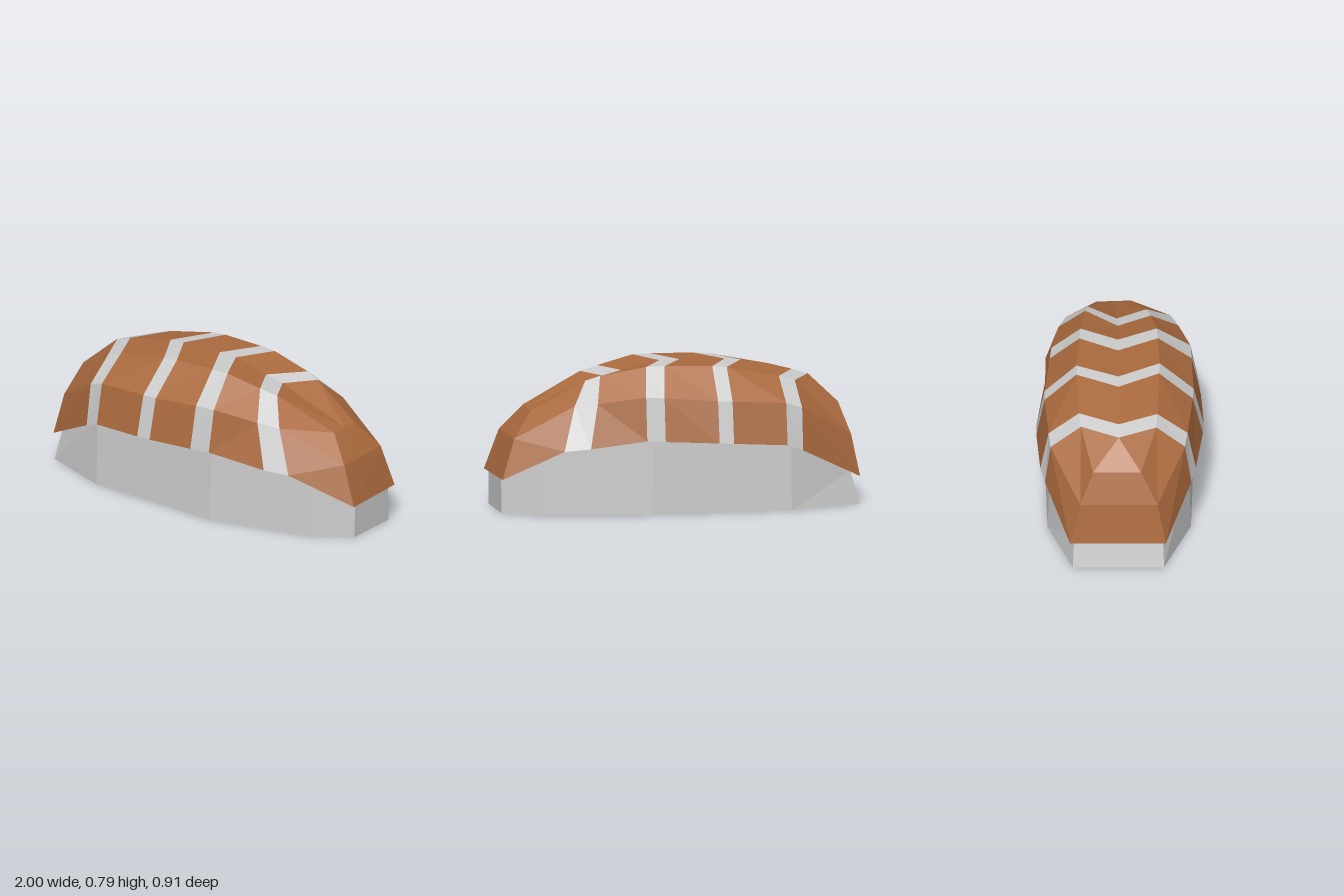
import * as THREE from 'three';

const GREY = 0xcccccc, BROWN = 0xaa6a3e;

// Flat-shaded mesh from a list of quads (four corners, counter-clockwise from outside)
function quadMesh(name, quads, color) {
  const pos = [];
  for (const [a, b, c, d] of quads) pos.push(...a, ...b, ...c, ...a, ...c, ...d);
  const geo = new THREE.BufferGeometry();
  geo.setAttribute('position', new THREE.Float32BufferAttribute(pos, 3));
  geo.computeVertexNormals();
  const mesh = new THREE.Mesh(geo, new THREE.MeshStandardMaterial({ color, flatShading: true }));
  mesh.name = name;
  return mesh;
}

// Lengthwise crust lines, each from the -x end to the +x end
const line = (xs, ys, zs) => xs.map((x, i) => [x, ys[i], zs[i]]);
const rimY = [0.155, 0.33, 0.365, 0.385, 0.39, 0.4, 0.405, 0.37, 0.355, 0.19];
const midY = [0.38, 0.56, 0.59, 0.61, 0.615, 0.635, 0.64, 0.605, 0.59, 0.41];
const topY = [0.55, 0.685, 0.713, 0.773, 0.78, 0.785, 0.783, 0.735, 0.71, 0.55];
const frontRim = line([-1, -0.66, -0.57, -0.26, -0.17, 0.1, 0.22, 0.56, 0.69, 1], rimY,
  [0.245, 0.385, 0.41, 0.45, 0.455, 0.44, 0.43, 0.38, 0.328, 0.147]);
const frontMid = line([-0.96, -0.66, -0.57, -0.26, -0.17, 0.1, 0.22, 0.47, 0.59, 0.92], midY,
  [0.2, 0.35, 0.365, 0.395, 0.4, 0.39, 0.385, 0.32, 0.28, 0.13]);
const frontTop = line([-0.9, -0.66, -0.57, -0.26, -0.17, 0.07, 0.17, 0.37, 0.47, 0.8], topY,
  [0.11, 0.195, 0.2, 0.212, 0.215, 0.208, 0.202, 0.17, 0.147, 0.065]);
const ridge = line([-0.9, -0.76, -0.67, -0.39, -0.3, -0.05, 0.06, 0.27, 0.38, 0.795], topY,
  [-0.02, -0.01, -0.01, -0.01, -0.01, -0.01, -0.01, -0.01, -0.015, -0.03]);
const backTop = line([-0.9, -0.65, -0.56, -0.27, -0.19, 0.07, 0.17, 0.42, 0.5, 0.79], topY,
  [-0.15, -0.215, -0.225, -0.238, -0.237, -0.22, -0.212, -0.185, -0.172, -0.125]);
const backMid = line([-0.96, -0.66, -0.57, -0.27, -0.19, 0.1, 0.2, 0.46, 0.58, 0.9], midY,
  [-0.22, -0.38, -0.39, -0.41, -0.41, -0.38, -0.37, -0.33, -0.29, -0.215]);
const backRim = line([-1, -0.66, -0.57, -0.27, -0.19, 0.1, 0.2, 0.51, 0.65, 0.97], rimY,
  [-0.275, -0.41, -0.435, -0.455, -0.455, -0.415, -0.405, -0.4, -0.367, -0.248]);

// Level underside lip: the rim moved inward
const lip = rim => rim.map(([x, y, z]) => [x, y, z - 0.08 * Math.sign(z)]);
const lines = [lip(frontRim), frontRim, frontMid, frontTop, ridge,
  backTop, backMid, backRim, lip(backRim)];

// Crust slices alternate with the pale score marks
function buildCrust() {
  const crust = new THREE.Group();
  crust.name = 'crust';
  for (let i = 0; i < 9; i++) {
    const quads = [];
    for (let j = 0; j < lines.length - 1; j++) {
      const a = lines[j], b = lines[j + 1];
      // The diagonals on the back half mirror those on the front
      quads.push(j < 4 ? [a[i], a[i + 1], b[i + 1], b[i]] : [a[i + 1], b[i + 1], b[i], a[i]]);
    }
    const score = i % 2 === 1;
    crust.add(quadMesh(score ? 'scoreMark' : 'crustSlice', quads, score ? GREY : BROWN));
  }
  // Sloping end faces
  for (const [name, i] of [['crustEndRight', 0], ['crustEndLeft', 9]]) {
    const quads = [
      [frontRim[i], backRim[i], backMid[i], frontMid[i]],
      [frontMid[i], backMid[i], backTop[i], frontTop[i]],
    ];
    if (i === 0) quads.forEach(q => q.reverse());
    crust.add(quadMesh(name, quads, BROWN));
  }
  return crust;
}

// Bread body: ten-sided footprint as [x, z, wall height, top x]
function buildBase() {
  const foot = [
    [-1, 0.235, 0.185, -0.95], [-0.595, 0.383, 0.375], [0.21, 0.405, 0.42], [0.775, 0.255, 0.335], [0.98, 0.115, 0.2],
    [0.968, -0.2, 0.2], [0.75, -0.32, 0.34], [0.165, -0.41, 0.415], [-0.6, -0.395, 0.37], [-1, -0.26, 0.185, -0.95],
  ];
  const low = foot.map(([x, z]) => [x, 0, z]);
  const high = foot.map(([x, z, y, topX = x]) => [topX, y, z * 0.97]);
  const n = foot.length, quads = [];
  for (let i = 0; i < n; i++) {
    const k = (i + 1) % n;
    quads.push([low[i], low[k], high[k], high[i]]);
  }
  // Floor, paired across from front to back
  for (let i = 0; i < 4; i++) quads.push([low[i], low[9 - i], low[8 - i], low[i + 1]]);
  return quadMesh('breadBase', quads, GREY);
}

export function createModel() {
  const loaf = new THREE.Group();
  loaf.name = 'breadLoaf';
  loaf.add(buildBase(), buildCrust());
  return loaf;
}
